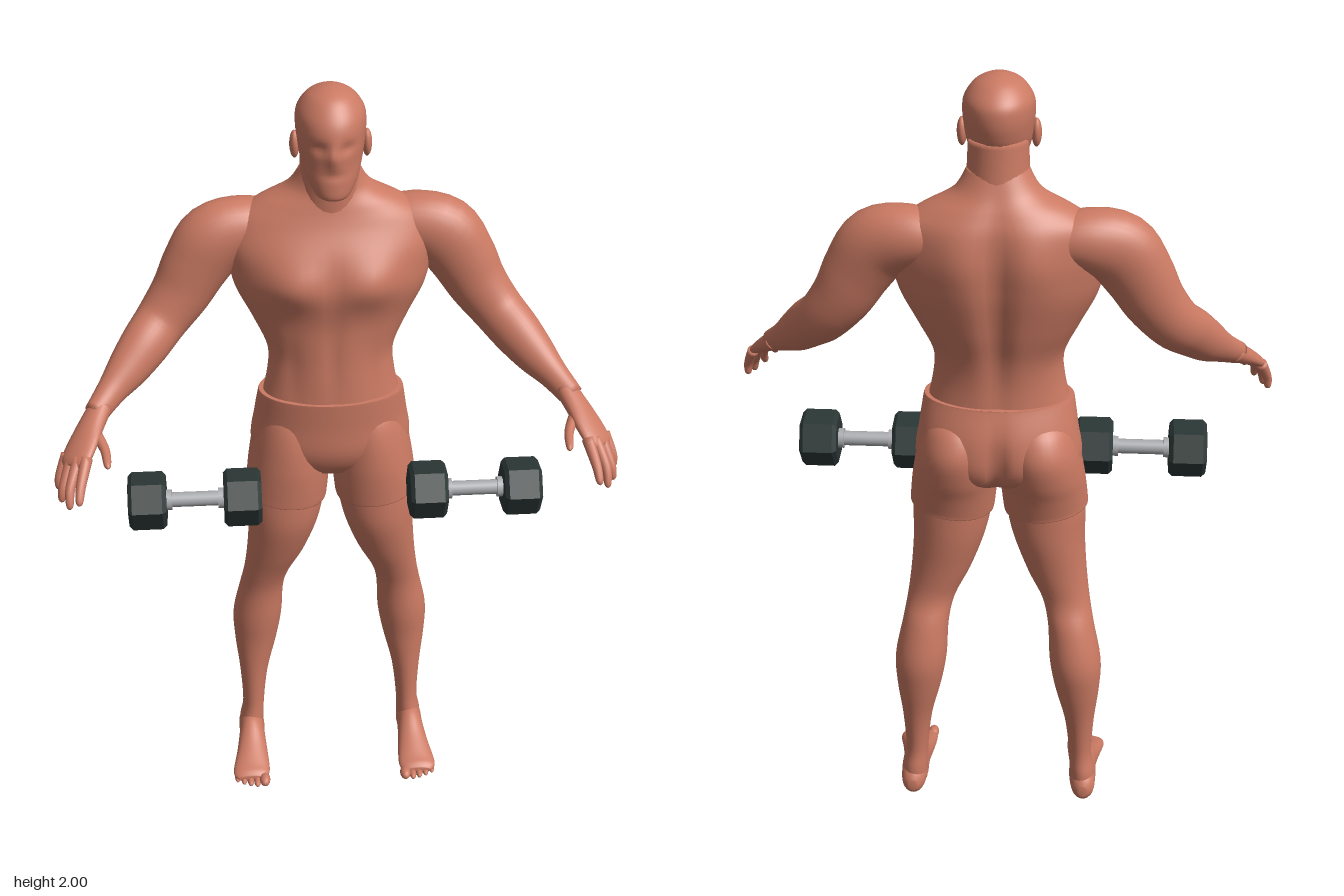
import * as THREE from 'three';

const skin = new THREE.MeshStandardMaterial({ color: 0xcb7a63 });
skin.name = 'skin';
const rubber = new THREE.MeshStandardMaterial({ color: 0x2b3735, flatShading: true });
rubber.name = 'dark rubber';
const steel = new THREE.MeshStandardMaterial({ color: 0xa9abae });
steel.name = 'steel';

const X = new THREE.Vector3(1, 0, 0), Y = new THREE.Vector3(0, 1, 0), Z = new THREE.Vector3(0, 0, 1);
const bell = (d, w) => Math.exp(-((d / w) ** 2));

// Catmull-Rom refinement of rings [x, y, z, width radius, depth radius]
function refine(rings, steps) {
  const out = [], last = rings.length - 1;
  for (let i = 0; i < last; i++) {
    const [a, b, c, d] = [-1, 0, 1, 2].map(k => rings[Math.min(last, Math.max(0, i + k))]);
    for (let s = 0; s < steps; s++) {
      const t = s / steps;
      out.push(b.map((_, k) => 0.5 * (2 * b[k] + (c[k] - a[k]) * t
        + (2 * a[k] - 5 * b[k] + 4 * c[k] - d[k]) * t * t
        + (3 * b[k] - a[k] - 3 * c[k] + d[k]) * t * t * t)));
    }
  }
  out.push(rings[last]);
  return out;
}

// Smooth closed skin through elliptical rings; sculpt may push each vertex
function loft(rings, { axis, ref = Z, n = 28, steps = 4, sculpt } = {}) {
  const r = refine(rings, steps), pos = [], idx = [];
  const at = i => new THREE.Vector3(...r[Math.min(r.length - 1, Math.max(0, i))].slice(0, 3));
  r.forEach((q, i) => {
    const t = axis || at(i + 1).sub(at(i - 1)).normalize();
    const v = t.clone().cross(ref).normalize(), u = v.clone().cross(t);
    for (let j = 0; j < n; j++) {
      const a = (j / n) * Math.PI * 2;
      const p = at(i).addScaledVector(v, Math.cos(a) * Math.max(q[3], 0.001))
        .addScaledVector(u, Math.sin(a) * Math.max(q[4], 0.001));
      if (sculpt) sculpt(p, Math.sin(a));
      pos.push(p.x, p.y, p.z);
      if (i < r.length - 1) {
        const k = i * n + j, m = i * n + (j + 1) % n;
        idx.push(k, k + n, m, m, k + n, m + n);
      }
    }
  });
  const end = (r.length - 1) * n, c = r.length * n;
  pos.push(...at(0).toArray(), ...at(r.length - 1).toArray());
  for (let j = 0; j < n; j++) {
    const m = (j + 1) % n;
    idx.push(c, j, m, c + 1, end + m, end + j);
  }
  const g = new THREE.BufferGeometry();
  g.setAttribute('position', new THREE.Float32BufferAttribute(pos, 3));
  g.setIndex(idx);
  g.computeVertexNormals();
  return g;
}

// Upright ring from height, half width, front z and back z
const slab = ([y, w, f, b]) => [0, y, (f + b) / 2, w, (f - b) / 2];

function mirrored(geo) {
  const g = geo.clone();
  const p = g.attributes.position, ix = g.index.array;
  for (let i = 0; i < p.count; i++) p.setX(i, -p.getX(i));
  for (let i = 0; i < ix.length; i += 3) [ix[i], ix[i + 1]] = [ix[i + 1], ix[i]];
  g.computeVertexNormals();
  return g;
}

export function createModel() {
  const model = new THREE.Group();
  model.name = 'athlete';
  const add = (name, geo, mat = skin) => {
    const m = new THREE.Mesh(geo, mat);
    m.name = name;
    model.add(m);
    return m;
  };
  const pair = (name, geo) => {
    add('left ' + name, geo);
    add('right ' + name, mirrored(geo));
  };
  const ball = (r, x, y, z, sx, sy, sz) =>
    new THREE.SphereGeometry(r, 16, 12).scale(sx, sy, sz).translate(x, y, z);

  // Torso with chest, shoulder blades, spine and belly grooves
  add('torso', loft([
    [1.17, 0.18, -0.005, -0.213], [1.25, 0.162, -0.008, -0.212], [1.32, 0.16, -0.01, -0.222],
    [1.4, 0.195, -0.01, -0.245], [1.48, 0.235, -0.003, -0.262], [1.54, 0.25, -0.01, -0.266],
    [1.6, 0.255, -0.022, -0.265], [1.66, 0.235, -0.05, -0.258], [1.7, 0.18, -0.065, -0.243],
    [1.74, 0.105, -0.075, -0.222], [1.79, 0.072, -0.075, -0.2],
  ].map(slab), {
    axis: Y, n: 64, steps: 6, sculpt(p, s) {
      const x = Math.abs(p.x), y = p.y;
      if (s > 0) {
        p.z += s * (0.034 * bell(x - 0.1, 0.085) * bell(y - 1.53, 0.06)
          - 0.007 * bell(x, 0.018) * bell(y - 1.33, 0.13)
          - 0.006 * bell(x - 0.1, 0.02) * bell(y - 1.28, 0.1));
      } else {
        p.z += -s * (0.022 * bell(x, 0.03) * bell(y - 1.45, 0.22)
          - 0.018 * bell(x - 0.09, 0.06) * bell(y - 1.59, 0.09));
      }
    },
  }));

  // Neck and head
  add('neck', loft([
    [1.66, 0.09, -0.065, -0.225], [1.73, 0.078, -0.062, -0.212],
    [1.79, 0.073, -0.06, -0.205], [1.86, 0.07, -0.06, -0.2],
  ].map(slab), { axis: Y }));
  add('head', loft([
    [1.753, 0.022, -0.002, -0.04], [1.763, 0.042, 0.008, -0.075], [1.8, 0.062, 0.008, -0.125],
    [1.84, 0.075, 0.006, -0.188], [1.88, 0.081, 0.008, -0.208], [1.92, 0.084, 0.003, -0.213],
    [1.95, 0.079, -0.011, -0.205], [1.98, 0.057, -0.037, -0.175], [1.995, 0.029, -0.068, -0.143],
    [2, 0.006, -0.1, -0.112],
  ].map(slab), {
    axis: Y, n: 48, steps: 5, sculpt(p, s) {
      if (s < 0) return;
      const x = Math.abs(p.x);
      p.z += s * (0.011 * bell(x, 0.014) * bell(p.y - 1.862, 0.026)
        - 0.01 * bell(x - 0.033, 0.02) * bell(p.y - 1.882, 0.014)
        - 0.004 * bell(x, 0.03) * bell(p.y - 1.818, 0.01));
    },
  }));
  pair('ear', ball(1, 0.086, 1.86, -0.1, 0.012, 0.034, 0.02));

  // Arms from inside the shoulder to the wrist
  pair('arm', loft([
    [0.12, 1.62, -0.17, 0.055, 0.06], [0.2, 1.625, -0.165, 0.075, 0.073],
    [0.28, 1.6, -0.152, 0.09, 0.074], [0.33, 1.535, -0.145, 0.084, 0.068],
    [0.37, 1.465, -0.138, 0.075, 0.064], [0.42, 1.4, -0.118, 0.066, 0.06],
    [0.465, 1.355, -0.072, 0.062, 0.055], [0.51, 1.31, -0.028, 0.052, 0.046],
    [0.55, 1.275, 0.015, 0.038, 0.034], [0.59, 1.24, 0.065, 0.03, 0.026],
  ], { n: 32 }));

  // Hands
  pair('palm', loft([
    [0.575, 1.253, 0.045, 0.03, 0.026], [0.598, 1.227, 0.088, 0.036, 0.024],
    [0.62, 1.2, 0.135, 0.044, 0.02], [0.638, 1.176, 0.172, 0.044, 0.016],
    [0.646, 1.166, 0.186, 0.03, 0.008],
  ], { ref: new THREE.Vector3(0.46, 0.82, 0.29), n: 20 }));
  const fingers = {
    thumb: [[0.595, 1.217, 0.1], [0.567, 1.2, 0.165], [0.557, 1.186, 0.232]],
    'index finger': [[0.61, 1.187, 0.185], [0.624, 1.145, 0.24], [0.63, 1.11, 0.275]],
    'middle finger': [[0.63, 1.182, 0.175], [0.651, 1.132, 0.226], [0.655, 1.088, 0.255]],
    'ring finger': [[0.647, 1.177, 0.16], [0.669, 1.122, 0.2], [0.677, 1.083, 0.212]],
    'little finger': [[0.66, 1.175, 0.14], [0.68, 1.127, 0.163], [0.685, 1.092, 0.168]],
  };
  for (const [name, [a, b, c]] of Object.entries(fingers)) {
    const near = c.map((v, i) => b[i] + (v - b[i]) * 0.8);
    pair(name, loft([
      [...a, 0.015, 0.015], [...b, 0.012, 0.012], [...near, 0.009, 0.009], [...c, 0.002, 0.002],
    ], { n: 12 }));
  }

  // Shorts: hips with a rear cleft, plus a sleeve on each thigh
  const cleft = (p, s) => {
    if (s < 0) p.z += -s * 0.028 * bell(p.x, 0.022) * bell(p.y - 1.04, 0.09);
  };
  add('shorts hips', loft([
    [1.198, 0.184, 0.003, -0.222], [1.19, 0.187, 0.003, -0.224], [1.12, 0.198, 0, -0.25],
    [1.05, 0.208, -0.002, -0.256], [1, 0.19, -0.02, -0.235], [0.965, 0.1, -0.05, -0.19],
  ].reverse().map(slab), { axis: Y, n: 56, sculpt: cleft }));
  pair('shorts leg', loft([
    [0.12, 0.885, -0.109, 0.106, 0.102], [0.118, 0.9, -0.11, 0.107, 0.104],
    [0.113, 0.95, -0.116, 0.108, 0.113], [0.109, 1, -0.125, 0.105, 0.123],
    [0.104, 1.07, -0.134, 0.096, 0.126], [0.1, 1.13, -0.13, 0.08, 0.105],
    [0.1, 1.16, -0.125, 0.05, 0.07],
  ], {
    axis: Y, n: 36, sculpt(p) {
      p.y += 0.12 * (p.x - 0.12) * bell(p.y - 0.885, 0.04);
    },
  }));

  // Legs from under the shorts to the ankle
  pair('leg', loft([
    [0.23, 0.03, -0.155, 0.033, 0.04], [0.228, 0.08, -0.15, 0.034, 0.047],
    [0.222, 0.14, -0.15, 0.03, 0.04], [0.218, 0.25, -0.156, 0.039, 0.047],
    [0.21, 0.36, -0.165, 0.058, 0.06], [0.203, 0.45, -0.165, 0.067, 0.07],
    [0.19, 0.55, -0.152, 0.06, 0.062], [0.175, 0.62, -0.13, 0.062, 0.057],
    [0.15, 0.7, -0.117, 0.077, 0.072], [0.128, 0.8, -0.109, 0.092, 0.092],
    [0.12, 0.88, -0.109, 0.1, 0.097], [0.115, 0.95, -0.112, 0.095, 0.098],
  ], { axis: Y, n: 36 }));

  // Feet and toes
  pair('foot', loft([
    [0.232, 0.035, -0.207, 0.012, 0.016], [0.232, 0.038, -0.19, 0.029, 0.037],
    [0.23, 0.05, -0.15, 0.036, 0.05], [0.23, 0.052, -0.1, 0.036, 0.052],
    [0.232, 0.036, -0.04, 0.043, 0.036], [0.236, 0.022, 0.02, 0.051, 0.022],
    [0.237, 0.018, 0.045, 0.048, 0.017], [0.237, 0.015, 0.058, 0.036, 0.01],
  ], { axis: Z, ref: Y }));
  for (let i = 0; i < 5; i++) {
    const r = i ? 0.0105 - i * 0.0006 : 0.015;
    pair('toe ' + (i + 1), ball(1, i ? 0.203 + i * 0.0185 : 0.2, r, 0.062 - i * i * 0.0016, r, r, 0.024));
  }

  // Dumbbells: hexagonal heads, collars and a bar along x
  const turned = (geo, x) => geo.rotateZ(-Math.PI / 2).translate(x, 0.97, 0.05);
  const headProfile = [[0, -0.048], [0.064, -0.048], [0.074, -0.038], [0.074, 0.038], [0.064, 0.048], [0, 0.048]]
    .map(p => new THREE.Vector2(...p));
  for (const s of [1, -1]) {
    const side = s > 0 ? 'left' : 'right';
    for (const [end, x, inward] of [['inner', 0.237, 1], ['outer', 0.478, -1]]) {
      const head = new THREE.LatheGeometry(headProfile, 6).rotateY(THREE.MathUtils.degToRad(-5));
      add(`${side} dumbbell ${end} head`, turned(head, s * x), rubber);
      add(`${side} dumbbell ${end} collar`,
        turned(new THREE.CylinderGeometry(0.026, 0.026, 0.016, 24), s * (x + inward * 0.054)), steel);
    }
    add(`${side} dumbbell bar`, turned(new THREE.CylinderGeometry(0.019, 0.019, 0.2, 24), s * 0.3575), steel);
  }
  return model;
}
